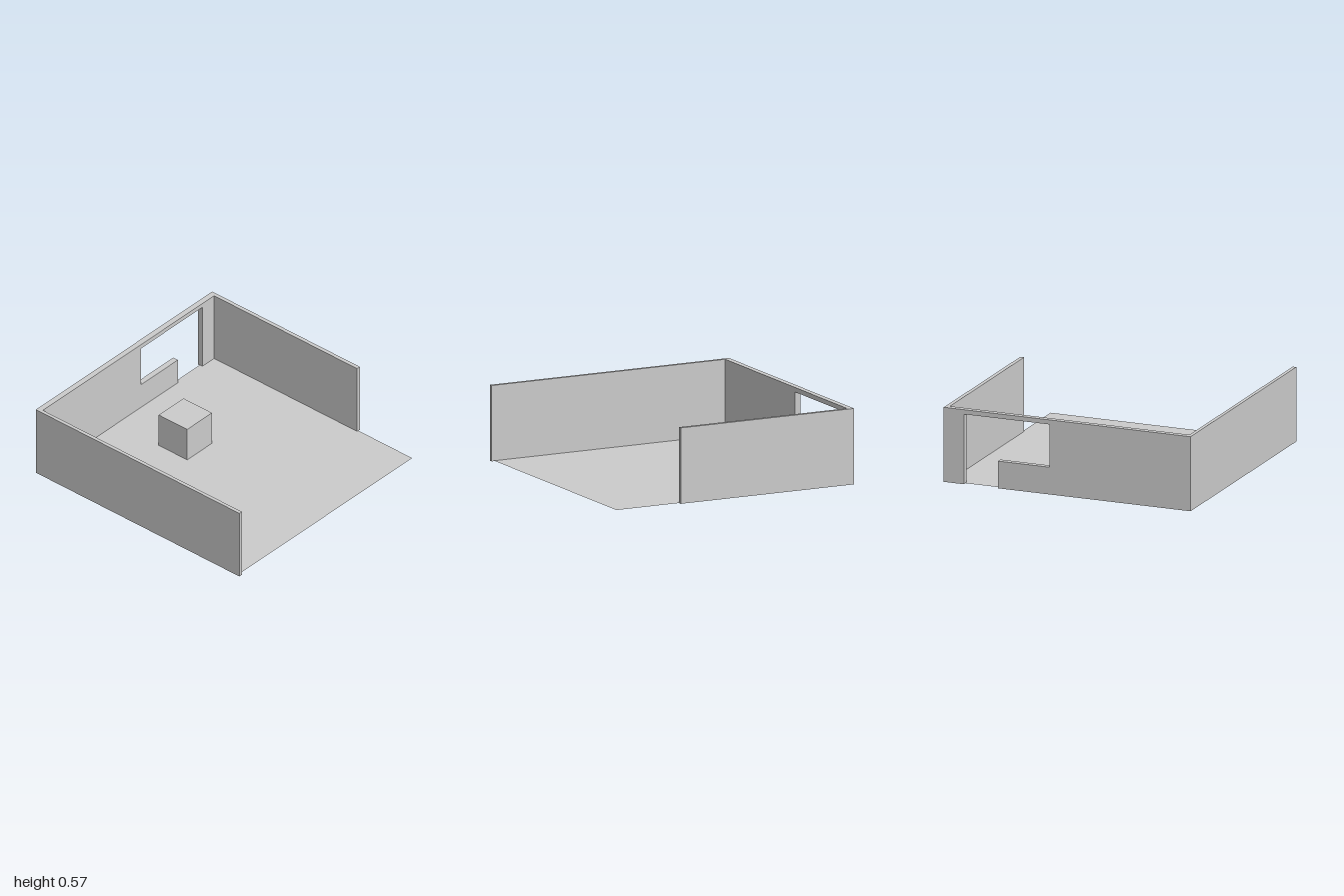
import * as THREE from 'three';

const HEIGHT = 0.575, END = 0.993, INNER_X = -0.955;

export function createModel() {
  const group = new THREE.Group();
  const material = new THREE.MeshStandardMaterial({ color: 0xcccccc, flatShading: true });

  const add = (name, geometry, mat = material) => {
    const mesh = new THREE.Mesh(geometry, mat);
    mesh.name = name;
    group.add(mesh);
    return mesh;
  };

  // Box given by its limits along each axis
  const box = (name, [x0, x1], [y0, y1], [z0, z1]) =>
    add(name, new THREE.BoxGeometry(x1 - x0, y1 - y0, z1 - z0))
      .position.set((x0 + x1) / 2, (y0 + y1) / 2, (z0 + z1) / 2);

  // Thin floor sheet, tucked under the walls
  const floorMaterial = material.clone();
  floorMaterial.side = THREE.DoubleSide;
  add('floor', new THREE.PlaneGeometry(1.96, 1.95).rotateX(-Math.PI / 2), floorMaterial)
    .position.y = 0.003;

  // Side wall outline (z, y): doorway, then a low counter under the open hatch
  const outline = [
    [-END, 0], [-0.83, 0], [-0.83, 0.54], [-0.14, 0.54], [-0.14, 0.21],
    [-0.555, 0.21], [-0.555, 0], [END, 0], [END, HEIGHT], [-END, HEIGHT],
  ].map(([z, y]) => new THREE.Vector2(z, y));
  const sideWall = new THREE.ExtrudeGeometry(new THREE.Shape(outline), {
    depth: 1 + INNER_X, bevelEnabled: false,
  }).rotateY(-Math.PI / 2);
  add('sideWall', sideWall).position.x = INNER_X;

  // Front wall runs the full width, back wall stops short
  box('frontWall', [INNER_X, 1], [0, HEIGHT], [0.965, END]);
  box('backWall', [INNER_X, 0.45], [0, HEIGHT], [-END, -0.962]);

  // Block standing in the room
  box('block', [-0.54, -0.26], [0, 0.28], [-0.142, 0.137]);

  return group;
}
